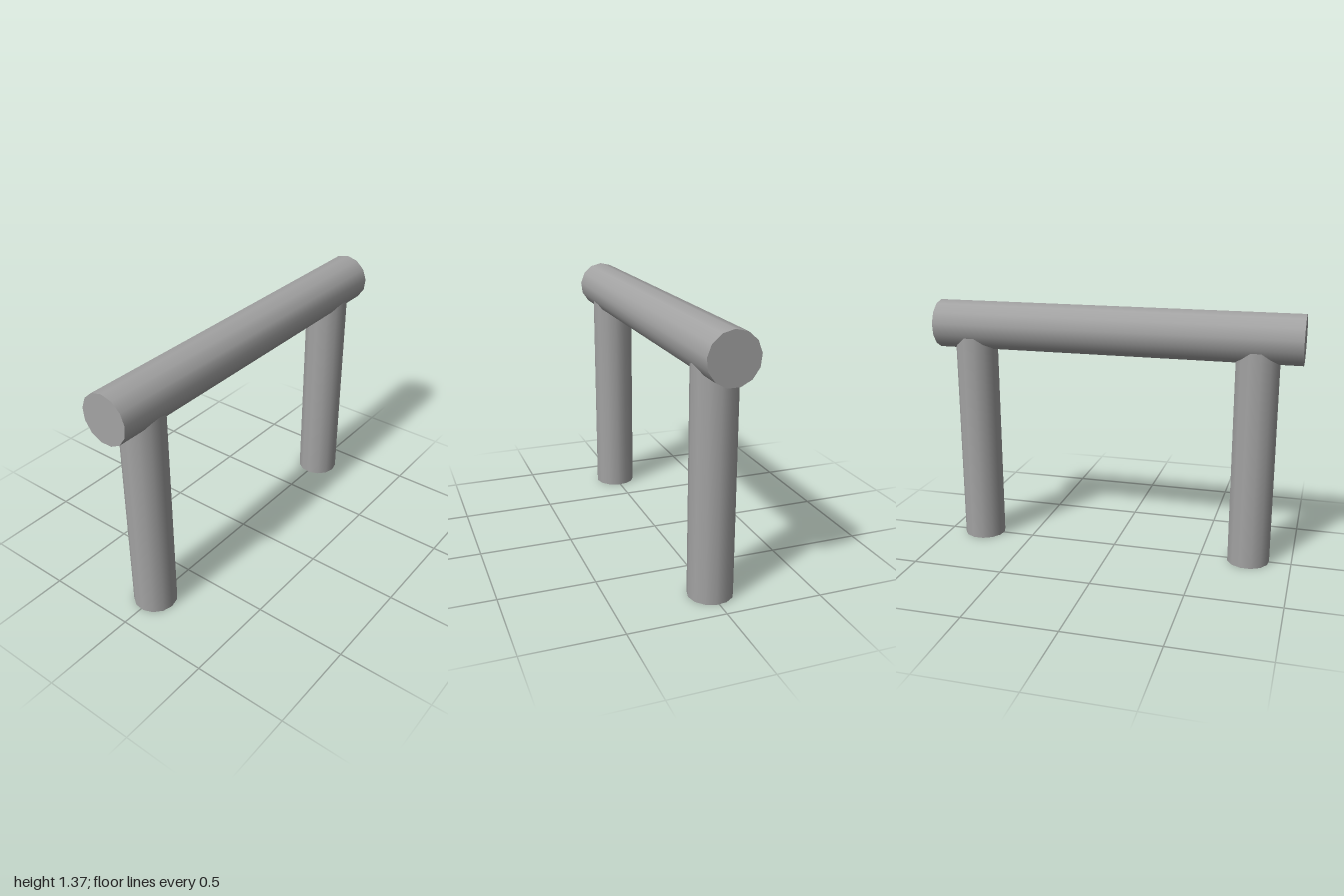
import * as THREE from 'three';

const SIDES = 13;

export function createModel() {
  const group = new THREE.Group();
  const grey = new THREE.MeshStandardMaterial({ color: 0xa3a3a3, side: THREE.DoubleSide });
  grey.name = 'plain grey';

  // Horizontal bar, closed at both ends, with one facet corner pointing up
  const barGeometry = new THREE.CylinderGeometry(0.132, 0.132, 2, SIDES);
  barGeometry.rotateY(Math.PI / 2).rotateZ(Math.PI / 2);
  const bar = new THREE.Mesh(barGeometry, grey);
  bar.name = 'bar';
  bar.position.y = 1.242;
  group.add(bar);

  // Two hollow legs, open at the foot and running up into the bar
  const legHeight = 1.22;
  const legGeometry = new THREE.CylinderGeometry(0.116, 0.116, legHeight, SIDES, 1, true);
  for (const [name, x] of [['rightLeg', -0.765], ['leftLeg', 0.795]]) {
    const leg = new THREE.Mesh(legGeometry, grey);
    leg.name = name;
    leg.position.set(x, legHeight / 2, 0);
    group.add(leg);
  }

  return group;
}
